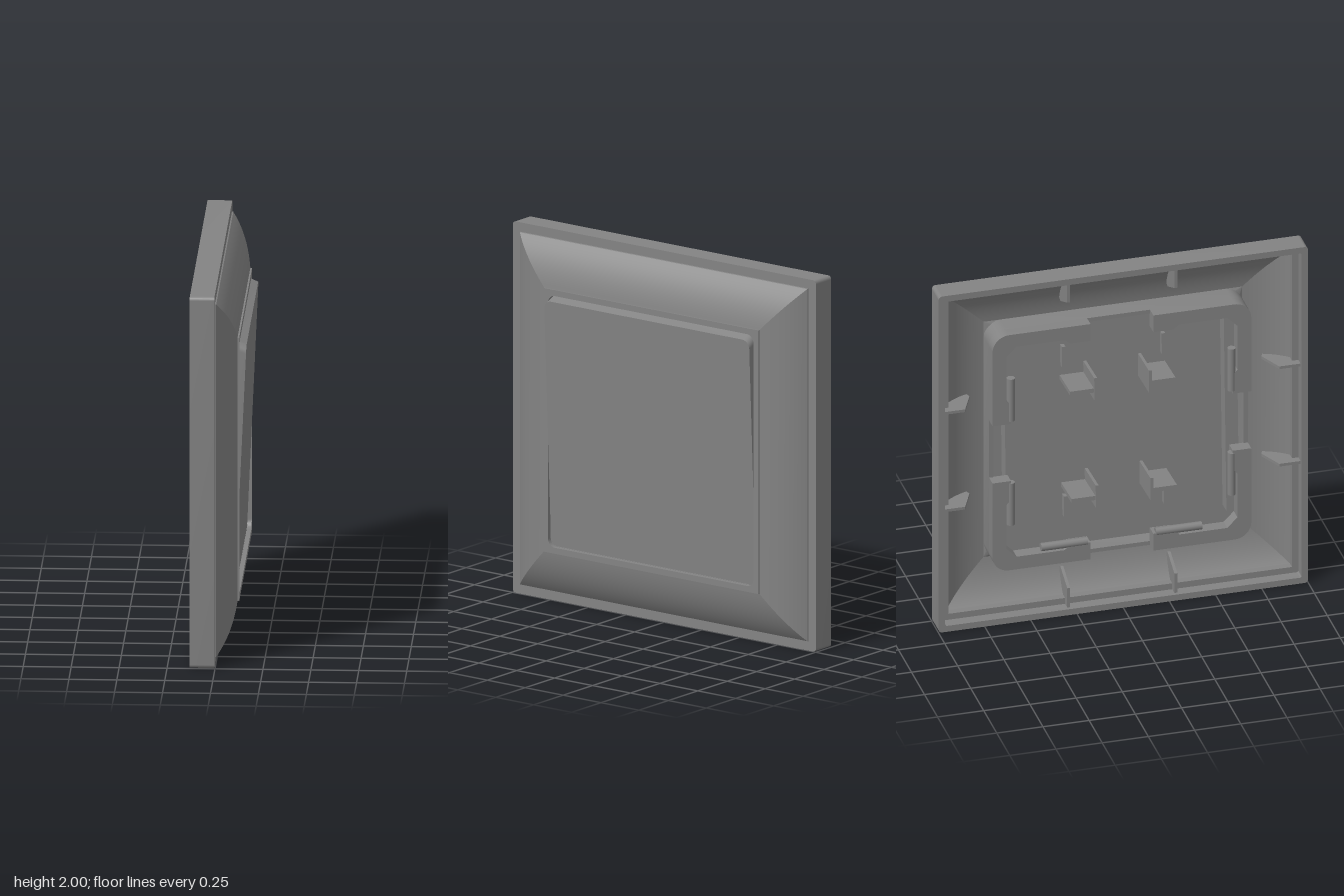
import * as THREE from 'three';
import { toCreasedNormals } from 'three/addons/utils/BufferGeometryUtils.js';

const material = new THREE.MeshStandardMaterial({ color: 0x838383, side: THREE.DoubleSide });

function add(parent, name, geometry, x = 0, y = 0, z = 0) {
  const mesh = new THREE.Mesh(geometry, material);
  mesh.name = name;
  mesh.position.set(x, y, z);
  parent.add(mesh);
}

// Outline of a rounded square, counter-clockwise, with half size h and corner radius r
function squareOutline(h, r, n = 6) {
  const points = [];
  for (let c = 0; c < 4; c++) {
    const mid = Math.PI / 4 + c * Math.PI / 2;
    const cx = Math.sign(Math.cos(mid)) * (h - r), cy = Math.sign(Math.sin(mid)) * (h - r);
    for (let i = 0; i <= n; i++) {
      const a = (c + i / n) * Math.PI / 2;
      points.push(new THREE.Vector2(cx + r * Math.cos(a), cy + r * Math.sin(a)));
    }
  }
  return points;
}

// Closed profile of [half size, depth, corner radius] swept round a square, with crisp mitres
function squareLoft(profile) {
  const rings = profile.map(([h, z, r]) => squareOutline(h, r, 16).map(p => [p.x, p.y, z]));
  const pos = [];
  rings.forEach((ring, i) => {
    const next = rings[(i + 1) % rings.length];
    ring.forEach((p, j) => {
      const k = (j + 1) % ring.length;
      pos.push(...p, ...next[j], ...next[k], ...p, ...next[k], ...ring[k]);
    });
  });
  const g = new THREE.BufferGeometry();
  g.setAttribute('position', new THREE.Float32BufferAttribute(pos, 3));
  return toCreasedNormals(g, 0.12);
}

const extrude = (shape, depth) =>
  new THREE.ExtrudeGeometry(shape, { depth, bevelEnabled: false, curveSegments: 6 });

// Convex curve between two profile points, with mitred corners
function arc(from, ctrl, to) {
  const [a, b, c] = [from, ctrl, to].map(p => new THREE.Vector2(...p));
  return new THREE.QuadraticBezierCurve(a, b, c).getPoints(14).map(p => [p.x, p.y, 0]);
}

function buildFrame(parent) {
  // Hollow cover with raised lip, curved slope and outer rim
  add(parent, 'coverFrame', squareLoft([
    [0.678, 0.06, 0.045], [0.678, 0.113, 0.045], [0.71, 0.113, 0.004], [0.71, 0.104, 0],
    ...arc([0.71, 0.104], [0.85, 0.085], [0.948, 0.004]),
    [0.95, -0.003, 0], [1, -0.003, 0.02], [1, -0.132, 0.02],
    [0.965, -0.132, 0.01], [0.965, -0.07, 0.01], [0.93, -0.07, 0],
    ...arc([0.93, -0.03], [0.84, 0.05], [0.70, 0.07]),
  ]));

  // Collar behind the opening
  const collar = new THREE.Shape(squareOutline(0.7, 0.09));
  collar.holes.push(new THREE.Path(squareOutline(0.677, 0.05)));
  add(parent, 'collar', toCreasedNormals(extrude(collar, 0.13), 0.5), 0, 0, -0.04);

  // Four flanged corners leave a notch in the middle of each side
  const corner = new THREE.Shape();
  corner.moveTo(0.17, 0.6);
  corner.lineTo(0.17, 0.7);
  corner.lineTo(0.61, 0.7);
  corner.absarc(0.61, 0.61, 0.09, Math.PI / 2, 0, true);
  [[0.7, 0.17], [0.6, 0.17], [0.6, 0.28], [0.625, 0.31], [0.625, 0.57], [0.57, 0.625], [0.31, 0.625], [0.28, 0.6]]
    .forEach(([x, y]) => corner.lineTo(x, y));
  const cornerGeo = toCreasedNormals(extrude(corner, 0.07), 0.5);

  // Stiffening ribs between rim and slope
  const rib = new THREE.Shape([[0.97, -0.112], [0.97, -0.02], [0.8, 0.045], [0.79, 0.02], [0.85, -0.112]]
    .map(p => new THREE.Vector2(...p)));
  const ribGeo = extrude(rib, 0.016).rotateX(Math.PI / 2);

  for (let i = 0; i < 4; i++) {
    const side = new THREE.Group();
    side.name = 'frameSide';
    side.rotation.z = i * Math.PI / 2;
    add(side, 'collarCorner', cornerGeo, 0, 0, -0.105);
    for (const s of [-1, 1]) {
      add(side, 'rib', ribGeo, 0, s * 0.29 + 0.008, 0);
      // Rounded snap bars on the flange, not on the top side
      if (i !== 1) {
        add(side, 'snapBar', new THREE.CylinderGeometry(0.022, 0.022, 0.25, 12), 0.597, s * 0.31, -0.088);
      }
    }
    parent.add(side);
  }
}

function buildRocker(parent) {
  const rocker = new THREE.Group();
  rocker.name = 'rocker';
  rocker.position.z = 0.119;
  rocker.rotation.x = 0.045;

  // Slab with a sloped top edge
  const slab = extrude(new THREE.Shape(squareOutline(0.676, 0.045)), 0.05).translate(0, 0, -0.05);
  const p = slab.attributes.position;
  for (let i = 0; i < p.count; i++) {
    if (p.getZ(i) > -0.01 && p.getY(i) > 0.6) p.setY(i, p.getY(i) - 0.02);
  }
  add(rocker, 'rockerPlate', toCreasedNormals(slab, 0.5));

  for (const sx of [-1, 1]) {
    add(rocker, 'rockerSkirt', new THREE.BoxGeometry(0.018, 1.14, 0.08), sx * 0.595, 0, -0.085);
    for (const y of [-0.325, 0.3]) {
      // Bracket: shelf with an upright fin reaching slightly further back
      add(rocker, 'bracketShelf', new THREE.BoxGeometry(0.14, 0.024, 0.21), sx * 0.215, y, -0.15);
      add(rocker, 'bracketFin', new THREE.BoxGeometry(0.016, 0.13, 0.217), sx * 0.148, y + 0.01, -0.1535);
    }
    // Small guide ribs
    for (const y of [-0.44, 0.43]) {
      add(rocker, 'guideRib', new THREE.BoxGeometry(0.02, 0.12, 0.04), sx * 0.27, y, -0.065);
    }
  }
  parent.add(rocker);
}

export function createModel() {
  const model = new THREE.Group();
  model.name = 'wallSwitch';
  // Built facing +z, then turned so the rocker faces +x
  const body = new THREE.Group();
  body.name = 'switchBody';
  body.rotation.y = Math.PI / 2;
  body.position.y = 1;
  buildFrame(body);
  buildRocker(body);
  model.add(body);
  return model;
}
